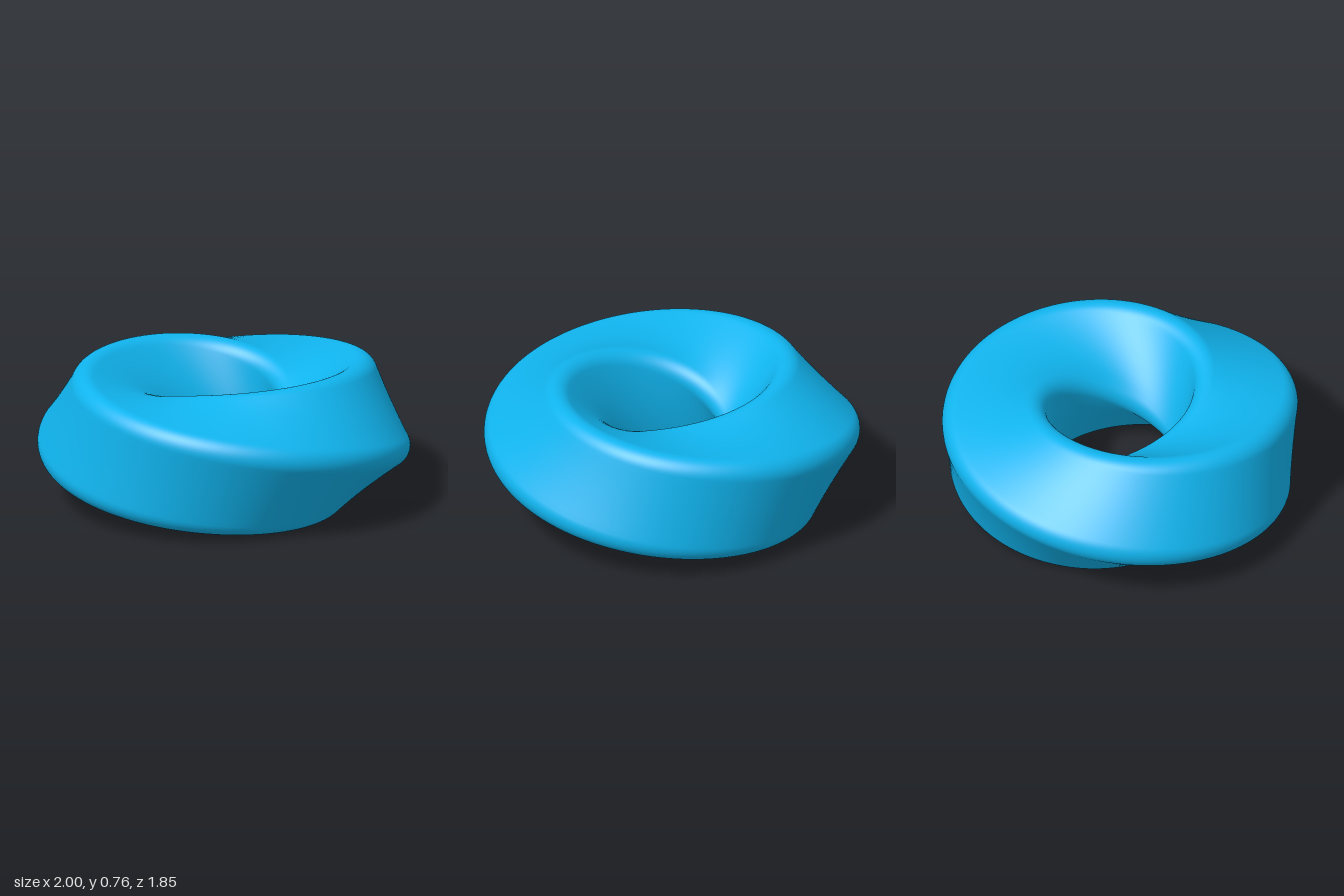
import * as THREE from 'three';

const RING = 0.6375;    // radius of the ring's centre line
const HALF = 0.283;     // half side of the square section
const ROUND = 0.091;    // corner radius of the section
const STRETCH = 1.045;  // slight vertical stretch
const MID = 0.378;      // height of the centre line
const STEPS = 256;      // sections around the ring

// Rounded square section, counter-clockwise; opposite points sit half a list apart
function sectionPoints(arcSteps = 10, flatSteps = 12) {
  const points = [];
  const c = HALF - ROUND;
  for (let side = 0; side < 4; side++) {
    const turn = side * Math.PI / 2;
    const origin = new THREE.Vector2();
    for (let i = 0; i < flatSteps; i++) {
      points.push(new THREE.Vector2(HALF, -c + 2 * c * i / flatSteps).rotateAround(origin, turn));
    }
    for (let i = 0; i < arcSteps; i++) {
      const t = i / arcSteps * Math.PI / 2;
      points.push(new THREE.Vector2(c + ROUND * Math.cos(t), c + ROUND * Math.sin(t)).rotateAround(origin, turn));
    }
  }
  return points;
}

// Sweep the section around the ring, giving it half a turn on the way
function twistedRingGeometry() {
  const section = sectionPoints();
  const count = section.length;
  const positions = [];
  const indices = [];
  for (let i = 0; i < STEPS; i++) {
    const a = i / STEPS * Math.PI * 2;
    const cos = Math.cos(a / 2), sin = Math.sin(a / 2);
    for (const p of section) {
      const r = RING + p.x * cos - p.y * sin;
      const y = MID + STRETCH * (p.x * sin + p.y * cos);
      positions.push(-r * Math.sin(a), y, r * Math.cos(a));
    }
  }
  // The last section joins the first one half a turn further on
  const at = (i, j) => i < STEPS
    ? i * count + j % count
    : (j + count / 2) % count;
  for (let i = 0; i < STEPS; i++) {
    for (let j = 0; j < count; j++) {
      const p = at(i, j), q = at(i, j + 1), r = at(i + 1, j + 1), s = at(i + 1, j);
      indices.push(p, q, s, q, r, s);
    }
  }
  const geometry = new THREE.BufferGeometry();
  geometry.setAttribute('position', new THREE.Float32BufferAttribute(positions, 3));
  geometry.setIndex(indices);
  geometry.computeVertexNormals();
  return geometry;
}

export function createModel() {
  const group = new THREE.Group();
  group.name = 'twistedTorus';
  const ring = new THREE.Mesh(
    twistedRingGeometry(),
    new THREE.MeshStandardMaterial({ color: 0x10b4ee })
  );
  ring.name = 'twistedRing';
  group.add(ring);
  return group;
}
